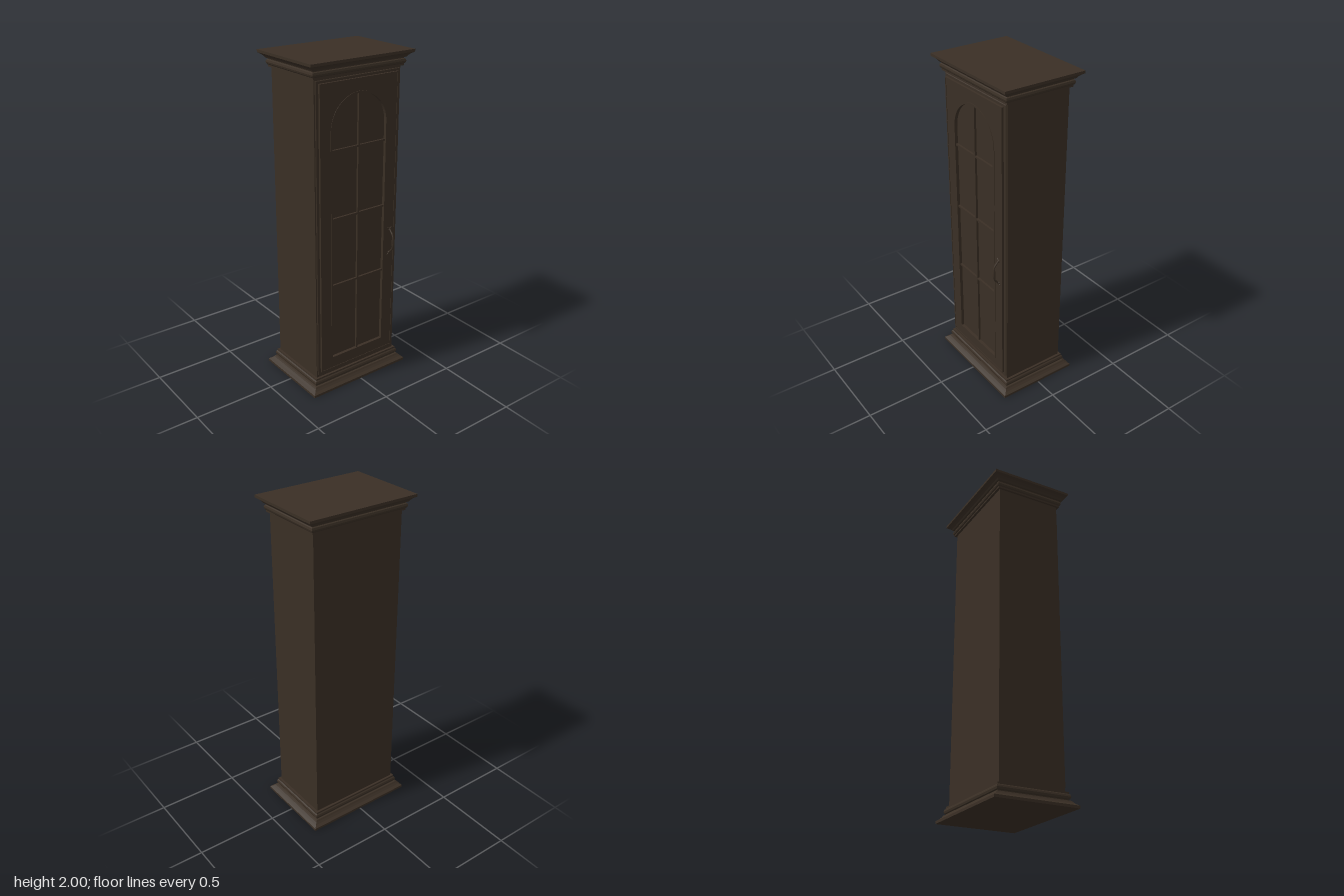
import * as THREE from 'three';

const wood = new THREE.MeshStandardMaterial({ color: 0x3a2f25 });
wood.name = 'dark wood';
const HX = 0.295, HZ = 0.2; // half size of the carcass

// Stack of rectangles that overhang the carcass by [offset, y], bottom to top
function rectLoft(profile) {
  const ring = ([o, y]) => [[1, 1], [1, -1], [-1, -1], [-1, 1]].map(([sx, sz]) => [sx * (HX + o), y, sz * (HZ + o)]);
  const rings = profile.map(ring), pos = [];
  const quad = (a, b, c, d) => [a, b, c, a, c, d].forEach(p => pos.push(...p));
  for (let i = 0; i < rings.length - 1; i++)
    for (let j = 0; j < 4; j++) {
      const k = (j + 1) % 4;
      quad(rings[i][j], rings[i][k], rings[i + 1][k], rings[i + 1][j]);
    }
  const lo = rings[0], hi = rings[rings.length - 1];
  quad(hi[0], hi[1], hi[2], hi[3]);
  quad(lo[3], lo[2], lo[1], lo[0]);
  const g = new THREE.BufferGeometry();
  g.setAttribute('position', new THREE.Float32BufferAttribute(pos, 3));
  g.computeVertexNormals();
  return g;
}

// Outline with a round-headed top
function archPath(Type, half, bottom, spring) {
  const p = new Type();
  p.moveTo(-half, bottom);
  p.lineTo(half, bottom);
  p.lineTo(half, spring);
  p.absarc(0, spring, half, 0, Math.PI, false);
  p.lineTo(-half, bottom);
  return p;
}

function rectShape(half, y0, y1) {
  const s = new THREE.Shape();
  s.moveTo(-half, y0);
  s.lineTo(half, y0);
  s.lineTo(half, y1);
  s.lineTo(-half, y1);
  s.closePath();
  return s;
}

export function createModel() {
  const root = new THREE.Group();
  root.name = 'cabinet';
  const add = (name, geometry, x = 0, y = 0, z = 0, parent = root) => {
    const m = new THREE.Mesh(geometry, wood);
    m.name = name;
    m.position.set(x, y, z);
    parent.add(m);
    return m;
  };

  add('carcass', new THREE.BoxGeometry(HX * 2, 1.9, HZ * 2), 0, 1, 0);

  // Cornice and its mirrored copy as plinth
  const cornice = [
    [0, 1.908], [0.014, 1.908], [0.014, 1.918], [0.02, 1.924], [0.023, 1.934], [0.02, 1.945],
    [0.014, 1.949], [0.014, 1.954], [0.024, 1.956], [0.03, 1.965], [0.04, 1.975], [0.056, 1.985], [0.056, 2],
  ];
  add('cornice', rectLoft(cornice));
  add('plinth', rectLoft(cornice.map(([o, y]) => [o, 2 - y]).reverse()));

  // Door: stepped frame around an arched opening
  const door = new THREE.Group();
  door.name = 'door';
  root.add(door);
  const slab = (name, half, y0, y1, z, depth, bevel) => {
    const s = rectShape(half - bevel, y0 + bevel, y1 - bevel);
    s.holes.push(archPath(THREE.Path, 0.19 + bevel, 0.2 - bevel, 1.615));
    add(name, new THREE.ExtrudeGeometry(s, {
      depth: depth - bevel, bevelEnabled: bevel > 0, bevelThickness: bevel, bevelSize: bevel,
      bevelSegments: 1, curveSegments: 14,
    }), 0, 0, z, door);
  };
  slab('doorBackStep', 0.288, 0.108, 1.898, HZ - 0.002, 0.008, 0.003);
  slab('doorFrame', 0.27, 0.128, 1.882, HZ, 0.016, 0.005);

  // Raised bead around the outer edge of the door
  const edge = rectShape(0.27, 0.128, 1.882);
  edge.holes.push(rectShape(0.263, 0.135, 1.875));
  add('doorEdgeBead', new THREE.ExtrudeGeometry(edge, { depth: 0.008, bevelEnabled: false }), 0, 0, 0.211, door);

  // Bead around the arched opening
  const bead = archPath(THREE.Shape, 0.198, 0.194, 1.613);
  bead.holes.push(archPath(THREE.Path, 0.187, 0.205, 1.613));
  add('archBead', new THREE.ExtrudeGeometry(bead, {
    depth: 0.019, bevelEnabled: false, curveSegments: 14,
  }), 0, 0, HZ, door);

  // Glazing bars
  add('verticalBar', new THREE.BoxGeometry(0.011, 1.6, 0.014), 0, 1.003, 0.206, door);
  for (const y of [0.68, 1.098, 1.5])
    add('crossBar', new THREE.BoxGeometry(0.38, 0.011, 0.013), 0, y, 0.206, door);

  // Bowed pull handle with small leaf-shaped ends
  const handle = new THREE.Group();
  handle.name = 'handle';
  handle.position.set(0.235, 0.862, 0);
  root.add(handle);
  const curve = new THREE.CatmullRomCurve3([
    [-0.078, 0.218], [-0.066, 0.228], [-0.04, 0.248], [0, 0.254], [0.04, 0.248], [0.066, 0.228], [0.078, 0.218],
  ].map(([y, z]) => new THREE.Vector3(0, y, z)));
  add('grip', new THREE.TubeGeometry(curve, 24, 0.005, 8), 0, 0, 0, handle);
  const swell = add('gripSwell', new THREE.SphereGeometry(1, 12, 8), 0, 0, 0.251, handle);
  swell.scale.set(0.008, 0.045, 0.006);
  for (const s of [-1, 1]) {
    const boss = add('boss', new THREE.SphereGeometry(0.009, 10, 8), 0, s * 0.076, 0.217, handle);
    boss.scale.z = 0.8;
    for (const t of [-1, 1]) {
      const leaf = add('leaf', new THREE.SphereGeometry(1, 8, 6), t * 0.007, s * 0.083, 0.217, handle);
      leaf.scale.set(0.004, 0.011, 0.004);
      leaf.rotation.z = -s * t * 0.9;
    }
  }
  return root;
}
